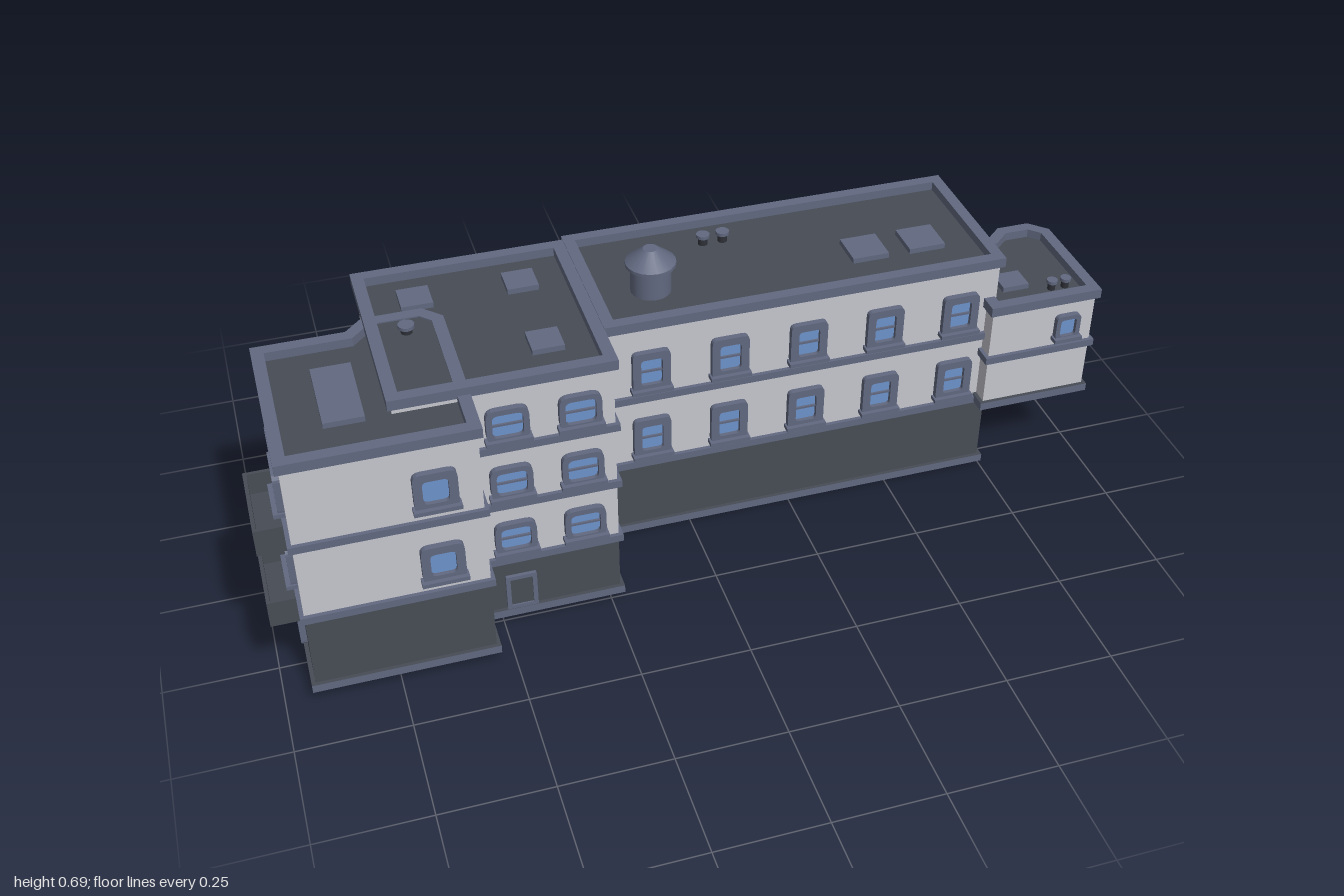
import * as THREE from 'three';

const mat = (name, color) => Object.assign(new THREE.MeshStandardMaterial({ color }), { name });
const wall = mat('wall', 0xc6c6ce), trim = mat('trim', 0x626980), dark = mat('darkBase', 0x474c55);
const glass = mat('glass', 0x6c92cb), accent = mat('accent', 0xc8913a), green = mat('foliage', 0x2f9e72);
const black = mat('pipe', 0x2e3138);

const add = (parent, name, geo, m, x = 0, y = 0, z = 0) => {
  const mesh = new THREE.Mesh(geo, m);
  mesh.name = name;
  mesh.position.set(x, y, z);
  parent.add(mesh);
  return mesh;
};
const box = (p, name, m, w, h, d, x, y, z) => add(p, name, new THREE.BoxGeometry(w, h, d), m, x, y, z);
const cyl = (p, name, m, r0, r1, h, x, y, z, n = 16) => add(p, name, new THREE.CylinderGeometry(r0, r1, h, n), m, x, y, z);

// Moves every edge of a counter-clockwise outline inwards by t
function inset(pts, t) {
  return pts.map((p, i) => {
    const a = pts[(i + pts.length - 1) % pts.length], b = pts[(i + 1) % pts.length];
    const d1 = p.clone().sub(a).normalize(), d2 = b.clone().sub(p).normalize();
    const n1 = new THREE.Vector2(-d1.y, d1.x), n2 = new THREE.Vector2(-d2.y, d2.x);
    return p.clone().addScaledVector(n1.clone().add(n2), t / (1 + n1.dot(n2)));
  });
}

// Upright prism over an outline, with an optional hole
function prism(p, name, m, pts, y0, y1, hole) {
  const shape = new THREE.Shape(pts);
  if (hole) shape.holes.push(new THREE.Path(hole));
  const geo = new THREE.ExtrudeGeometry(shape, { depth: y1 - y0, bevelEnabled: false });
  geo.rotateX(-Math.PI / 2);
  return add(p, name, geo, m, 0, y0, 0);
}

// One block: dark base, light storeys, bands between them, parapet and sunken roof
function block(root, name, outline, y0, baseTop, top, bands) {
  const g = new THREE.Group();
  g.name = name;
  root.add(g);
  const pts = outline.map(([x, z]) => new THREE.Vector2(x, -z));
  if (THREE.ShapeUtils.area(pts) < 0) pts.reverse();
  const inner = inset(pts, 0.009);
  prism(g, 'baseBand', [dark, trim], pts, y0, y0 + 0.02);
  if (baseTop > y0) prism(g, 'groundFloor', dark, inner, y0 + 0.02, baseTop);
  prism(g, 'upperFloors', [dark, wall], inner, Math.max(baseTop, y0 + 0.02), top - 0.021);
  for (const y of bands) prism(g, 'floorBand', trim, pts, y - 0.009, y + 0.009);
  prism(g, 'parapet', trim, pts, top - 0.024, top, inset(pts, 0.027));
  return g;
}

function roundRect(C, w, h, r) {
  const s = new C(), x = w / 2, y = h / 2;
  s.moveTo(-x + r, -y).lineTo(x - r, -y).quadraticCurveTo(x, -y, x, -y + r);
  s.lineTo(x, y - r).quadraticCurveTo(x, y, x - r, y);
  s.lineTo(-x + r, y).quadraticCurveTo(-x, y, -x, y - r);
  s.lineTo(-x, -y + r).quadraticCurveTo(-x, -y, -x + r, -y);
  return s;
}

// Framed window facing +z before being turned by ry
function opening(root, name, x, y, z, ry, w, h, o = {}) {
  const { b = 0.016, r = 0.014, cols = 1, rows = 1, sill = true, frame = trim, d = 0.014 } = o;
  const g = new THREE.Group();
  g.name = name;
  g.position.set(x, y, z);
  g.rotation.y = ry;
  root.add(g);
  const shape = roundRect(THREE.Shape, w, h, r);
  const iw = w - 2 * b, ih = h - 2 * b;
  shape.holes.push(roundRect(THREE.Path, iw, ih, r * 0.6));
  add(g, 'frame', new THREE.ExtrudeGeometry(shape, { depth: d, bevelEnabled: false, curveSegments: 4 }), frame);
  box(g, 'pane', glass, iw + 0.004, ih + 0.004, 0.005, 0, 0, 0.002);
  for (let i = 1; i < cols; i++) box(g, 'mullion', trim, 0.006, ih, 0.006, -iw / 2 + iw * i / cols, 0, 0.006);
  for (let i = 1; i < rows; i++) box(g, 'crossbar', trim, iw, 0.005, 0.006, 0, -ih / 2 + ih * i / rows, 0.006);
  if (sill) box(g, 'sill', trim, w + 0.008, 0.01, 0.024, 0, -h / 2 + 0.004, 0.012);
  return g;
}

// Shop front on a back wall: fascia, display windows and a double door
function shopFront(root, name, x0, x1, z, y, doorX, shops, doorW, h, floor) {
  const g = new THREE.Group();
  g.name = name;
  root.add(g);
  const w = x1 - x0, cx = (x0 + x1) / 2, cy = floor + h / 2;
  box(g, 'fasciaBacking', trim, w, 0.04, 0.016, cx, y, z - 0.008);
  box(g, 'fascia', accent, w, 0.04, 0.011, cx, y, z - 0.0215);
  for (const [x, sw] of shops) {
    opening(g, 'displayWindow', x, cy, z, Math.PI, sw, h, { b: 0.007, r: 0.002, sill: false, frame: accent, d: 0.008 });
    for (const s of [-1, 1]) box(g, 'pilaster', trim, 0.012, h + 0.015, 0.014, x + s * (sw / 2 + 0.008), cy, z - 0.006);
  }
  opening(g, 'shopDoor', doorX, cy - 0.002, z, Math.PI, doorW, h, { b: 0.01, r: 0.003, cols: 2, sill: false });
}

export function createModel() {
  const root = new THREE.Group();
  root.name = 'buildingRow';
  const rect = (x0, x1, z0, z1) => [[x0, z1], [x1, z1], [x1, z0], [x0, z0]];

  const long = block(root, 'longBlock', rect(-0.195, 0.76, -0.347, 0.045), 0, 0.19, 0.6, [0.2, 0.387]);
  const mid = block(root, 'middleBlock', rect(-0.7, -0.22, -0.22, 0.261), 0.02, 0.18, 0.672, [0.185, 0.341, 0.496]);
  const end = block(root, 'endBlock', [[-0.94, 0.377], [-0.53, 0.377], [-0.53, -0.03], [-0.57, -0.07],
    [-0.7, -0.07], [-0.74, -0.03], [-0.94, -0.03]], 0.032, 0.235, 0.654, [0.239, 0.434]);
  const wing = block(root, 'raisedWing', [[0.72, 0.083], [1, 0.083], [1, -0.195], [0.96, -0.235],
    [0.88, -0.235], [0.84, -0.2], [0.72, -0.2]], 0.195, 0.195, 0.491, [0.339]);

  // Long block windows, front and back
  for (const x of [-0.09, 0.095, 0.283, 0.47, 0.658]) for (const y of [0.463, 0.276]) {
    opening(long, 'frontWindow', x, y, 0.036, 0, 0.088, 0.106, { b: 0.019, rows: 2 });
    opening(long, 'backWindow', x, y + 0.008, -0.338, Math.PI, 0.13, 0.085, { cols: 2 });
  }
  shopFront(long, 'largeShop', -0.195, 0.76, -0.338, 0.165, 0.283, [[0.57, 0.3], [-0.005, 0.3]], 0.09, 0.115, 0.025);
  const disc = cyl(long, 'roundPlaque', [trim, accent, accent], 0.045, 0.045, 0.014, 0.283, 0.19, -0.368, 20);
  disc.rotation.x = Math.PI / 2;

  // Middle block windows
  for (const y of [0.56, 0.405, 0.25]) {
    for (const x of [-0.46, -0.305]) opening(mid, 'frontWindow', x, y, 0.252, 0, 0.092, 0.084, { b: 0.013, r: 0.022, rows: 2 });
    for (const x of [-0.62, -0.46, -0.3]) opening(mid, 'backWindow', x, y + 0.005, -0.211, Math.PI, 0.092, 0.08, { cols: 2 });
    opening(mid, 'sideWindow', -0.229, y, 0.015, Math.PI / 2, 0.085, 0.08, { rows: 2, sill: false });
  }
  opening(mid, 'frontDoor', -0.455, 0.087, 0.252, 0, 0.07, 0.095, { b: 0.01, r: 0.004, sill: false, d: 0.008 })
    .children[1].material = dark;
  shopFront(mid, 'smallShop', -0.7, -0.22, -0.211, 0.15, -0.46, [[-0.62, 0.09], [-0.3, 0.09]], 0.11, 0.085, 0.042);

  // End block windows and balconies
  for (const y of [0.52, 0.325]) {
    opening(end, 'frontWindow', -0.635, y, 0.368, 0, 0.092, 0.096, { b: 0.019, r: 0.018 });
    opening(end, 'balconyWindow', -0.931, y + 0.005, 0.265, -Math.PI / 2, 0.095, 0.1, { cols: 2 });
    const b = new THREE.Group();
    b.name = 'balcony';
    b.position.set(-0.97, y - 0.062, 0.267);
    end.add(b);
    box(b, 'balconyFloor', dark, 0.06, 0.012, 0.19, 0, -0.026, 0);
    box(b, 'balconyFront', dark, 0.008, 0.064, 0.19, -0.026, 0, 0);
    for (const s of [-1, 1]) box(b, 'balconySide', dark, 0.06, 0.064, 0.008, 0, 0, s * 0.091);
  }
  opening(end, 'groundWindow', -0.931, 0.135, 0.22, -Math.PI / 2, 0.13, 0.1, { cols: 2, sill: false });

  // Raised wing windows and planter
  opening(wing, 'frontWindow', 0.923, 0.4, 0.074, 0, 0.062, 0.068, { b: 0.011, r: 0.014 });
  for (const y of [0.4, 0.268]) {
    opening(wing, 'bayWindow', 0.92, y, -0.226, Math.PI, 0.055, 0.06, { b: 0.01 });
    opening(wing, 'backWindow', 0.8, y, -0.191, Math.PI, 0.05, 0.06, { b: 0.01 });
  }
  box(wing, 'planter', trim, 0.13, 0.016, 0.065, 0.89, 0.203, -0.2525);
  box(wing, 'planterBed', accent, 0.11, 0.004, 0.045, 0.89, 0.212, -0.256);
  for (const [x, z] of [[0.862, -0.25], [0.915, -0.257]]) {
    const bush = add(wing, 'bush', new THREE.SphereGeometry(0.024, 8, 5), green, x, 0.232, z);
    bush.material = green;
  }

  // Roof furniture
  cyl(long, 'chimney', trim, 0.047, 0.047, 0.075, -0.047, 0.612, -0.103, 20);
  cyl(long, 'chimneyBrim', trim, 0.058, 0.058, 0.008, -0.047, 0.651, -0.103, 20);
  cyl(long, 'chimneyCap', trim, 0.017, 0.058, 0.034, -0.047, 0.672, -0.103, 20);
  for (const [p, x, z, w, d, y] of [
    [long, 0.472, -0.11, 0.088, 0.088, 0.58], [long, 0.612, -0.11, 0.088, 0.088, 0.58],
    [mid, -0.578, -0.105, 0.07, 0.07, 0.652], [mid, -0.345, -0.105, 0.07, 0.07, 0.652],
    [mid, -0.345, 0.13, 0.07, 0.07, 0.652], [end, -0.787, 0.165, 0.085, 0.19, 0.634], [wing, 0.82, -0.03, 0.065, 0.06, 0.471],
  ]) box(p, 'roofHatch', trim, w, 0.014, d, x, y + 0.005, z);
  for (const [p, x, z, top, r] of [[long, 0.122, -0.25, 0.606, 0.016], [long, 0.17, -0.25, 0.606, 0.016],
    [mid, -0.615, 0.005, 0.672, 0.018], [wing, 0.903, 0.018, 0.496, 0.013], [wing, 0.938, 0.018, 0.496, 0.013]]) {
    cyl(p, 'ventPipe', black, r * 0.7, r * 0.7, 0.03, x, top - 0.018, z, 12);
    cyl(p, 'ventCap', trim, r, r, 0.008, x, top - 0.004, z, 12);
  }

  // Drainpipes
  cyl(root, 'drainpipe', black, 0.007, 0.007, 0.53, -0.204, 0.295, 0.01, 10);
  for (const y of [0.09, 0.28, 0.46]) cyl(root, 'pipeClamp', trim, 0.01, 0.01, 0.014, -0.204, y, 0.01, 10);
  cyl(root, 'cornerPost', black, 0.008, 0.008, 0.23, -0.92, 0.117, -0.042, 10);
  return root;
}
